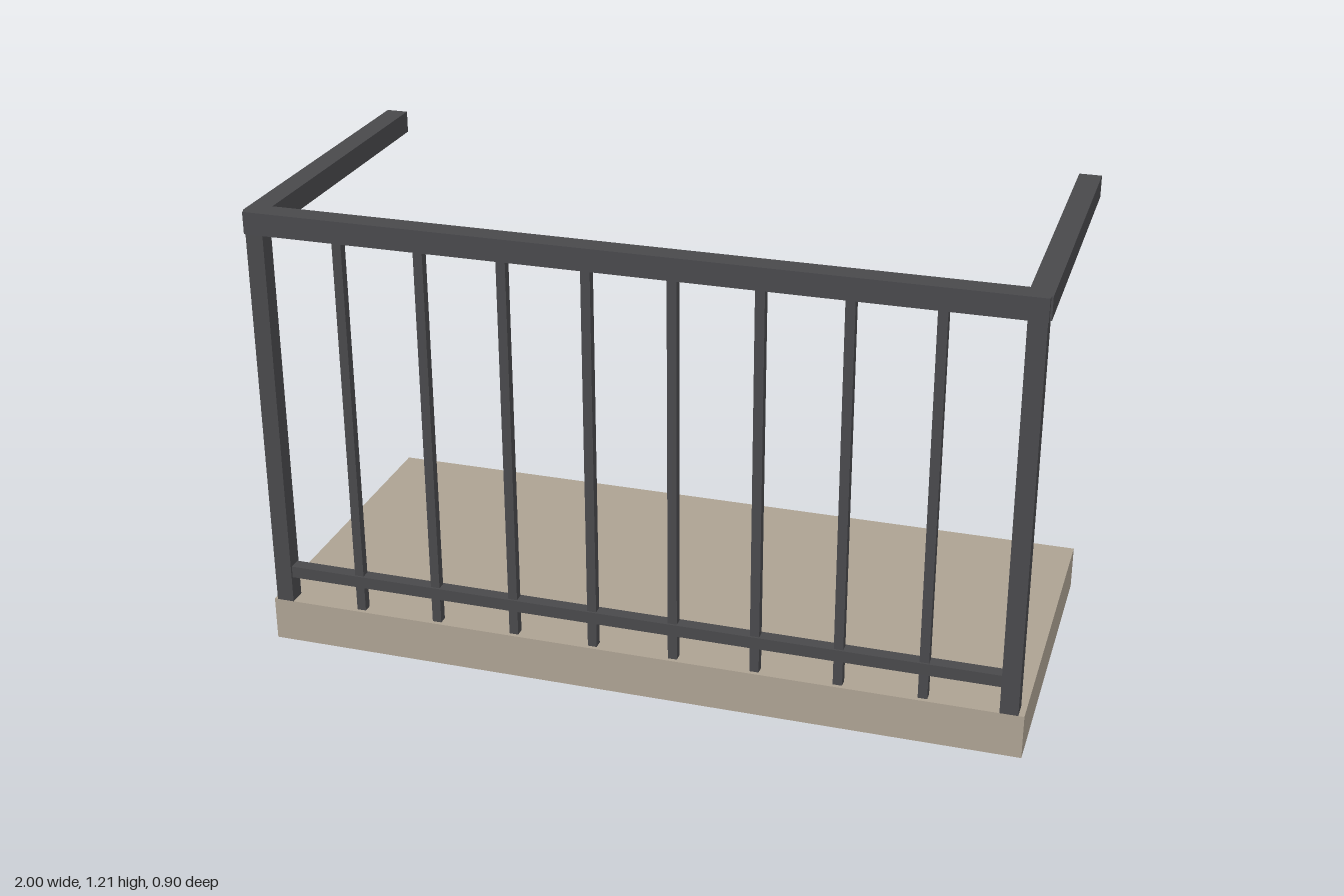
import * as THREE from 'three';

export function createModel() {
  const model = new THREE.Group();
  model.name = 'balcony';

  const stone = new THREE.MeshStandardMaterial({ color: 0xb0a595, side: THREE.DoubleSide });
  stone.name = 'beige stone';
  const metal = new THREE.MeshStandardMaterial({ color: 0x4a4a4d, side: THREE.DoubleSide });
  metal.name = 'dark grey metal';

  // Box between two corners; openBack leaves out the -z face
  function addBox(name, material, [x0, y0, z0], [x1, y1, z1], openBack = false) {
    const geometry = new THREE.BoxGeometry(x1 - x0, y1 - y0, z1 - z0);
    if (openBack) {
      geometry.setIndex(Array.from(geometry.index.array).slice(0, 30));
      geometry.clearGroups();
    }
    const mesh = new THREE.Mesh(geometry, material);
    mesh.name = name;
    mesh.position.set((x0 + x1) / 2, (y0 + y1) / 2, (z0 + z1) / 2);
    model.add(mesh);
  }

  const floorTop = 0.118, railBottom = 1.15, railTop = 1.208;
  const shift = -0.003; // the railing sits slightly off the slab's centre
  const postZ = 0.423;

  // Floor slab, open where it meets the wall
  addBox('floorSlab', stone, [-1, 0, -0.45], [1, floorTop, 0.446], true);

  // Handrail along the front
  addBox('frontHandrail', metal, [-0.99 + shift, railBottom, 0.391], [0.99 + shift, railTop, 0.45]);

  for (const side of [-1, 1]) {
    const label = side > 0 ? 'left' : 'right';
    // Side handrails, open at the wall end
    const railX = side * 0.966 + shift;
    addBox(label + 'Handrail', metal, [railX - 0.029, railBottom, -0.44], [railX + 0.029, railTop, 0.436], true);
    // Corner posts
    const postX = side * 0.965 + shift;
    addBox(label + 'Post', metal, [postX - 0.023, floorTop, postZ - 0.023], [postX + 0.023, railBottom, postZ + 0.023]);
  }

  // Lower rail between the posts
  addBox('lowerRail', metal, [-0.943 + shift, 0.188, postZ - 0.017], [0.943 + shift, 0.22, postZ + 0.017]);

  // Balusters, evenly spaced
  for (let i = 0; i < 8; i++) {
    const x = (i - 3.5) * 0.2143 + shift;
    addBox('baluster' + (i + 1), metal, [x - 0.012, floorTop, postZ - 0.012], [x + 0.012, railBottom, postZ + 0.012]);
  }

  return model;
}
